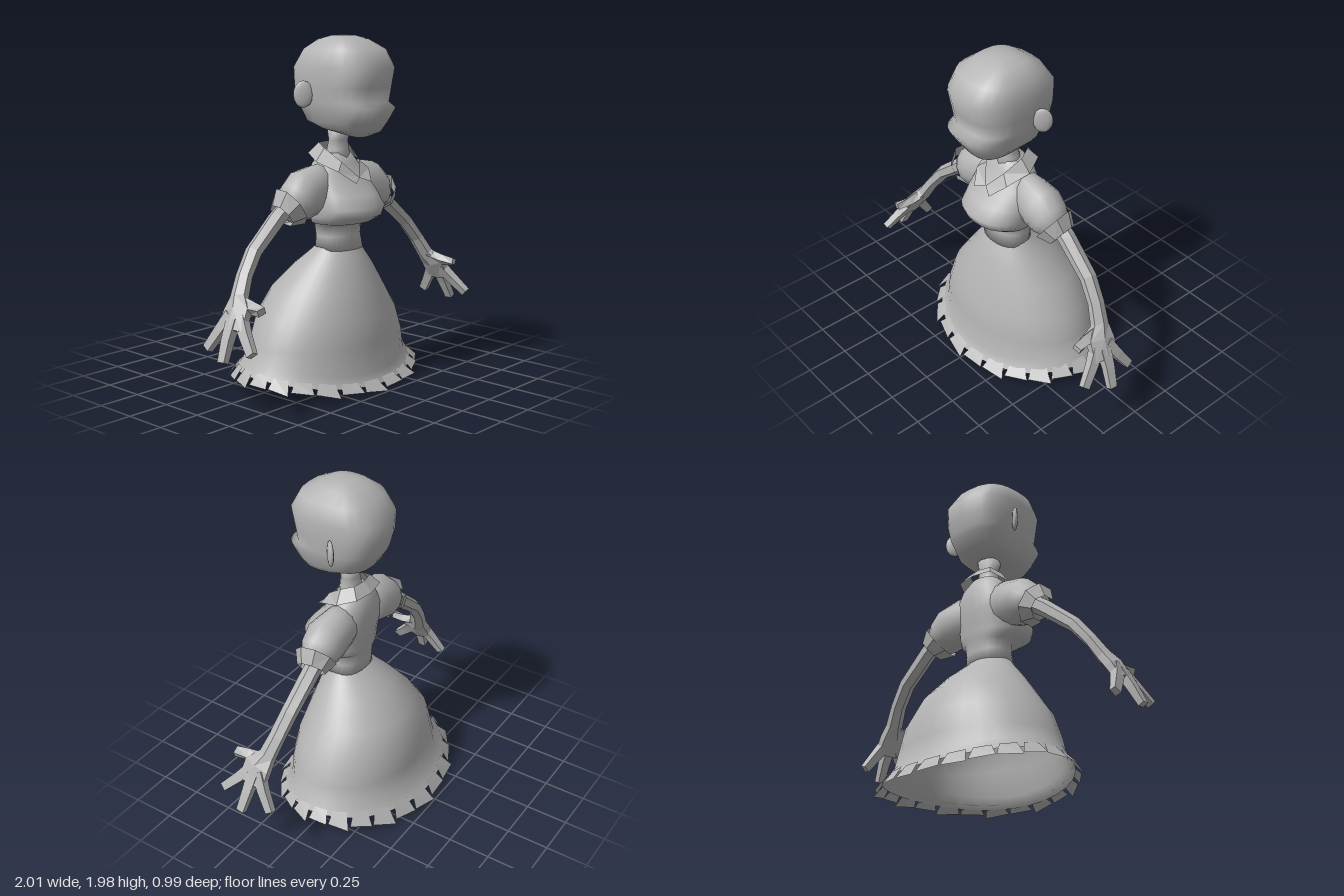
import * as THREE from 'three';

const grey = new THREE.MeshStandardMaterial({ color: 0xb4b4b4, side: THREE.DoubleSide });
grey.name = 'plain grey';

const V = (x, y, z) => new THREE.Vector3(x, y, z);

function build(points, index, flat) {
  let g = new THREE.BufferGeometry().setFromPoints(points);
  g.setIndex(index);
  if (flat) g = g.toNonIndexed();
  g.computeVertexNormals();
  return g;
}

// Skins a list of equal-length rings, with optional end caps
function skin(rings, { capStart = true, capEnd = true, flat = false } = {}) {
  const n = rings[0].length, pts = rings.flat(), idx = [];
  for (let i = 0; i < rings.length - 1; i++)
    for (let j = 0; j < n; j++) {
      const k = (j + 1) % n, a = i * n + j, b = i * n + k;
      idx.push(a, a + n, b, b, a + n, b + n);
    }
  const cap = (ring, base, end) => {
    const c = pts.length;
    pts.push(ring.reduce((s, p) => s.add(p), V(0, 0, 0)).divideScalar(n));
    for (let j = 0; j < n; j++) {
      const a = base + j, b = base + (j + 1) % n;
      end ? idx.push(c, b, a) : idx.push(c, a, b);
    }
  };
  if (capStart) cap(rings[0], 0, false);
  if (capEnd) cap(rings.at(-1), (rings.length - 1) * n, true);
  return build(pts, idx, flat);
}

// Horizontal sections, bottom to top: [y, halfWidth, zFront, zBack, lift at sides, lift at back]
function body(rows, sides, power, opts) {
  const e = 2 / power, pw = v => Math.sign(v) * Math.abs(v) ** e;
  return skin(rows.map(([y, w, zf, zb, lift = 0, back = 0]) =>
    Array.from({ length: sides }, (_, j) => {
      const a = j / sides * Math.PI * 2, c = Math.cos(a), s = Math.sin(a);
      return V(w * pw(c), y + lift * c * c - back * s, (zf + zb) / 2 + (zf - zb) / 2 * pw(s));
    })), opts);
}

// Tapered limb along a path: [x, y, z, radius along z, radius across]
function limb(rows, sides, opts) {
  const c = rows.map(r => V(r[0], r[1], r[2]));
  return skin(rows.map((r, i) => {
    const t = c[Math.min(i + 1, c.length - 1)].clone().sub(c[Math.max(i - 1, 0)]).normalize();
    const side = V(0, 0, 1).addScaledVector(t, -t.z).normalize();
    const up = side.clone().cross(t);
    return Array.from({ length: sides }, (_, j) => {
      const a = (j + 0.5) / sides * Math.PI * 2;
      return c[i].clone().addScaledVector(side, Math.cos(a) * r[3]).addScaledVector(up, Math.sin(a) * r[4]);
    });
  }), opts);
}

// Mirrors a geometry across x and keeps its faces outward
function mirrored(g) {
  const m = g.index ? g.toNonIndexed() : g.clone();
  m.scale(-1, 1, 1);
  for (const name of ['position', 'normal']) {
    const at = m.getAttribute(name), a = V(0, 0, 0), b = V(0, 0, 0);
    for (let i = 0; i < at.count; i += 3) {
      a.fromBufferAttribute(at, i + 1);
      b.fromBufferAttribute(at, i + 2);
      at.setXYZ(i + 1, b.x, b.y, b.z);
      at.setXYZ(i + 2, a.x, a.y, a.z);
    }
  }
  return m;
}

export function createModel() {
  const model = new THREE.Group();
  const add = (name, g) => {
    const m = new THREE.Mesh(g, grey);
    m.name = name;
    model.add(m);
  };
  const pair = (name, g) => {
    add('left' + name, g);
    add('right' + name, mirrored(g));
  };

  // Head with a jutting mouth, and neck
  add('head', body([
    [1.442, 0.08, 0.3, 0.13, 0, 0.018], [1.465, 0.145, 0.36, 0.04, 0, 0.015], [1.51, 0.185, 0.4, -0.05],
    [1.59, 0.207, 0.45, -0.097], [1.62, 0.213, 0.397, -0.108], [1.7, 0.222, 0.41, -0.13],
    [1.81, 0.228, 0.432, -0.135], [1.91, 0.2, 0.375, -0.065], [1.965, 0.13, 0.27, 0.02],
    [1.985, 0.06, 0.2, 0.09],
  ], 24, 2.7));
  add('neck', body([[1.25, 0.09, 0.18, 0.02], [1.35, 0.07, 0.165, 0.045], [1.4, 0.06, 0.16, 0.055],
    [1.47, 0.075, 0.185, 0.045]], 12, 2));

  // Ears, thin and turned outward to the back
  const ear = new THREE.SphereGeometry(1, 12, 8);
  ear.scale(0.055, 0.075, 0.018);
  ear.rotateY(Math.PI / 4);
  ear.translate(0.246, 1.665, 0.068);
  pair('Ear', ear);

  // Bodice
  add('bodice', body([
    [0.78, 0.15, 0.23, 0.0], [0.86, 0.14, 0.215, 0.0], [0.925, 0.145, 0.22, -0.01],
    [0.94, 0.19, 0.29, -0.015], [0.98, 0.21, 0.355, -0.02], [1.03, 0.215, 0.375, -0.025],
    [1.1, 0.212, 0.32, -0.035], [1.19, 0.2, 0.238, -0.035], [1.27, 0.15, 0.185, -0.02],
    [1.33, 0.09, 0.16, 0.015],
  ], 24, 2.25));

  // Skirt, open below, its flared hem arched at the sides
  add('skirt', body([
    [0.055, 0.59, 0.445, -0.44, 0.055, 0.015], [0.12, 0.54, 0.4, -0.37, 0.07, 0.025],
    [0.26, 0.515, 0.395, -0.355], [0.4, 0.465, 0.37, -0.335], [0.55, 0.355, 0.325, -0.27],
    [0.68, 0.25, 0.28, -0.145], [0.75, 0.185, 0.245, -0.06], [0.8, 0.145, 0.22, 0.0],
  ], 32, 2, { capStart: false, capEnd: false }));

  // Ruffle of separate slanted flaps that widen outward
  const flaps = 24, fp = [], fi = [];
  const hem = (a, rx, rz, y, lift, back) =>
    V(rx * Math.cos(a), y + lift * Math.cos(a) ** 2 - back * Math.sin(a), rz * Math.sin(a));
  for (let i = 0; i < flaps; i++) {
    const a = (i + 0.5) / flaps * Math.PI * 2, w = Math.PI / flaps, k = i % 2 ? 0.015 : 0;
    const o = fp.length;
    fp.push(hem(a - w * 0.7, 0.572, 0.425, 0.08, 0.06, 0.015), hem(a + w * 0.7, 0.572, 0.425, 0.08, 0.06, 0.015),
      hem(a - w * 0.95, 0.645 - k, 0.495 - k, 0.005 + k, 0.06, 0), hem(a + w * 0.95, 0.62, 0.475, 0.02, 0.06, 0));
    fi.push(o, o + 1, o + 2, o + 1, o + 3, o + 2);
  }
  add('ruffle', build(fp, fi, true));

  // Pointed collar
  const inner = [[0, 1.385, 0.015], [0.08, 1.385, 0.03], [0.11, 1.36, 0.1], [0.075, 1.285, 0.2], [0, 1.195, 0.268]];
  const outer = [[0, 1.325, -0.035], [0.12, 1.325, -0.015], [0.168, 1.285, 0.09], [0.13, 1.235, 0.225], [0.065, 1.17, 0.3]];
  const cp = [], ci = [];
  inner.forEach((p, i) => {
    cp.push(V(...p), V(...outer[i]));
    if (i) ci.push(2 * i - 2, 2 * i, 2 * i - 1, 2 * i - 1, 2 * i, 2 * i + 1);
  });
  pair('Collar', build(cp, ci, true));

  // Puffed sleeves and flared cuffs
  pair('Sleeve', limb([
    [0.06, 1.15, 0.085, 0.09, 0.13], [0.17, 1.135, 0.085, 0.11, 0.135], [0.27, 1.115, 0.09, 0.125, 0.14],
    [0.335, 1.075, 0.09, 0.115, 0.12], [0.4, 1.04, 0.085, 0.08, 0.085],
  ], 14));
  pair('Cuff', limb([[0.372, 1.058, 0.09, 0.12, 0.13], [0.435, 1.012, 0.08, 0.085, 0.075]], 8,
    { capStart: false, capEnd: false, flat: true }));

  // Arms down to the broad palms
  pair('Arm', limb([
    [0.36, 1.07, 0.07, 0.05, 0.05], [0.46, 1.0, 0.07, 0.052, 0.048], [0.65, 0.845, 0.08, 0.05, 0.042],
    [0.74, 0.73, 0.1, 0.05, 0.038], [0.8, 0.63, 0.125, 0.055, 0.042], [0.845, 0.57, 0.16, 0.095, 0.045],
    [0.9, 0.475, 0.17, 0.095, 0.035],
  ], 6, { flat: true }));

  // Fingers and thumb
  const digits = {
    IndexFinger: [[0.86, 0.54, 0.2], [0.895, 0.47, 0.265], [0.93, 0.385, 0.35]],
    MiddleFinger: [[0.88, 0.53, 0.165], [0.935, 0.43, 0.175], [0.985, 0.325, 0.19]],
    LittleFinger: [[0.87, 0.55, 0.14], [0.905, 0.46, 0.085], [0.935, 0.36, 0.02]],
    Thumb: [[0.81, 0.61, 0.14], [0.82, 0.595, 0.24], [0.835, 0.59, 0.325]],
  };
  for (const [name, path] of Object.entries(digits))
    pair(name, limb(path.map((p, i) => [...p, 0.046 - i * 0.006, 0.038 - i * 0.006]), 4, { flat: true }));

  return model;
}
